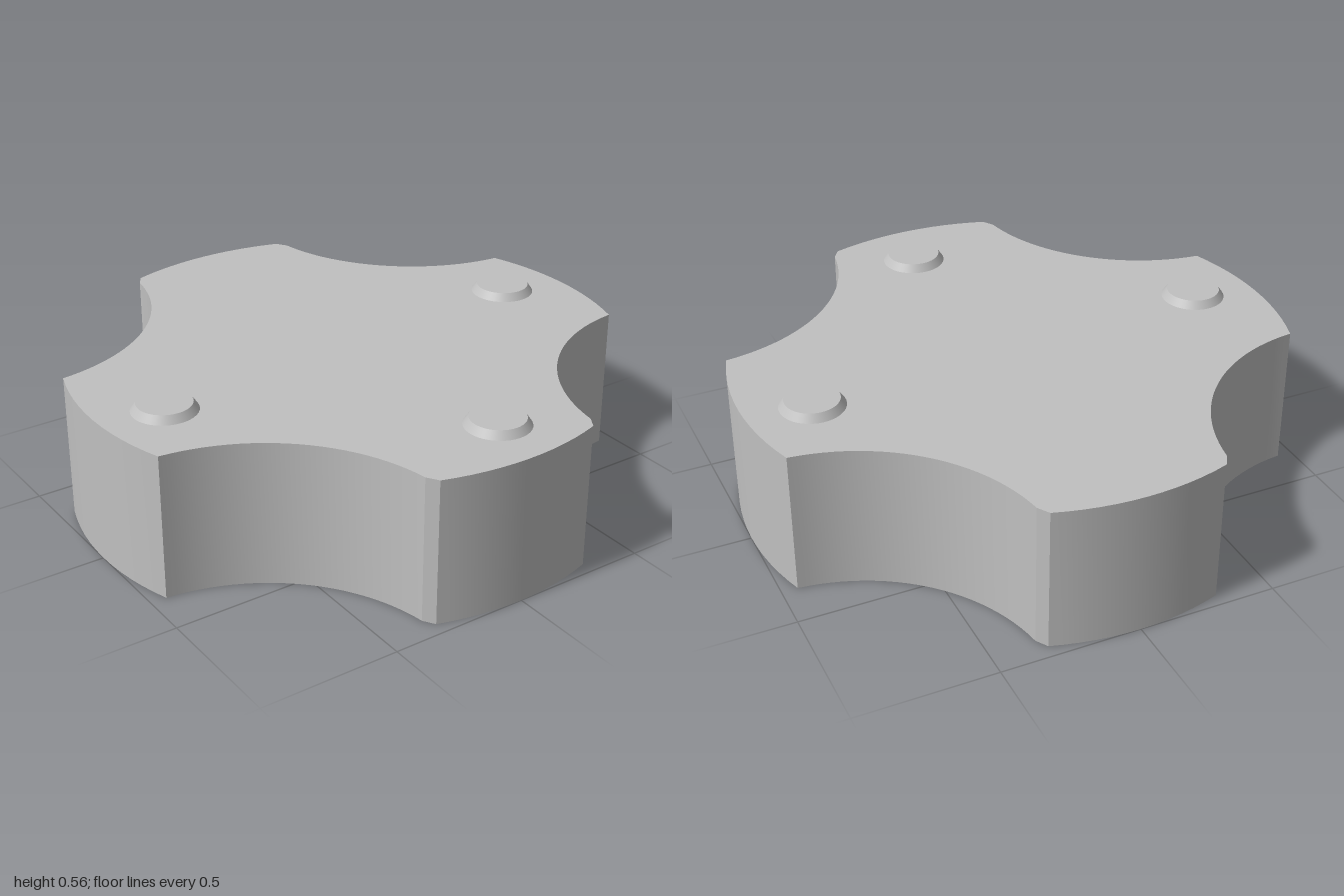
import * as THREE from 'three';
import { toCreasedNormals } from 'three/addons/utils/BufferGeometryUtils.js';

const HEIGHT = 0.527;
const SCOOP = 0.67; // radius of the scoops centred on the corners (+-1, +-1)

// Four lobes on a unit circle with scoops between; front and back lobes have clipped corners
function plateShape() {
  const points = [];
  const addArc = (cx, cy, r, from, to, steps) => {
    for (let i = 0; i <= steps; i++) {
      const a = from + ((to - from) * i) / steps;
      const p = new THREE.Vector2(cx + r * Math.cos(a), cy + r * Math.sin(a));
      if (!points.length || p.distanceTo(points[points.length - 1]) > 0.004) points.push(p);
    }
  };
  for (let i = 0; i < 4; i++) {
    const turn = (i * Math.PI) / 2;
    const clipped = i % 2 === 1;
    const half = clipped ? 0.315 : 0.3387;
    addArc(0, 0, 1, turn - half, turn + half, 12);
    const mid = turn + Math.PI / 4;
    const start = turn + Math.PI * 1.5 - (clipped ? 0.135 : 0.085);
    const end = turn + Math.PI + (clipped ? 0.085 : 0.135);
    addArc(Math.SQRT2 * Math.cos(mid), Math.SQRT2 * Math.sin(mid), SCOOP, start, end, 24);
  }
  if (points[0].distanceTo(points[points.length - 1]) < 0.004) points.pop();
  return new THREE.Shape(points);
}

export function createModel() {
  const model = new THREE.Group();
  model.name = 'lobedBlock';
  const grey = new THREE.MeshStandardMaterial({ color: 0xc0c0c0 });
  grey.name = 'grey';

  // Main block
  const block = new THREE.ExtrudeGeometry(plateShape(), { depth: HEIGHT, bevelEnabled: false });
  block.rotateX(-Math.PI / 2);
  const body = new THREE.Mesh(toCreasedNormals(block, 0.3), grey);
  body.name = 'body';
  model.add(body);

  // Low tapered studs on three of the lobes
  const stud = new THREE.CylinderGeometry(0.096, 0.115, 0.028, 40);
  [[-0.77, 0.065], [0.765, -0.07], [0.065, 0.765]].forEach(([x, z], i) => {
    const mesh = new THREE.Mesh(stud, grey);
    mesh.name = `stud${i + 1}`;
    mesh.position.set(x, HEIGHT + 0.014, z);
    model.add(mesh);
  });
  return model;
}
